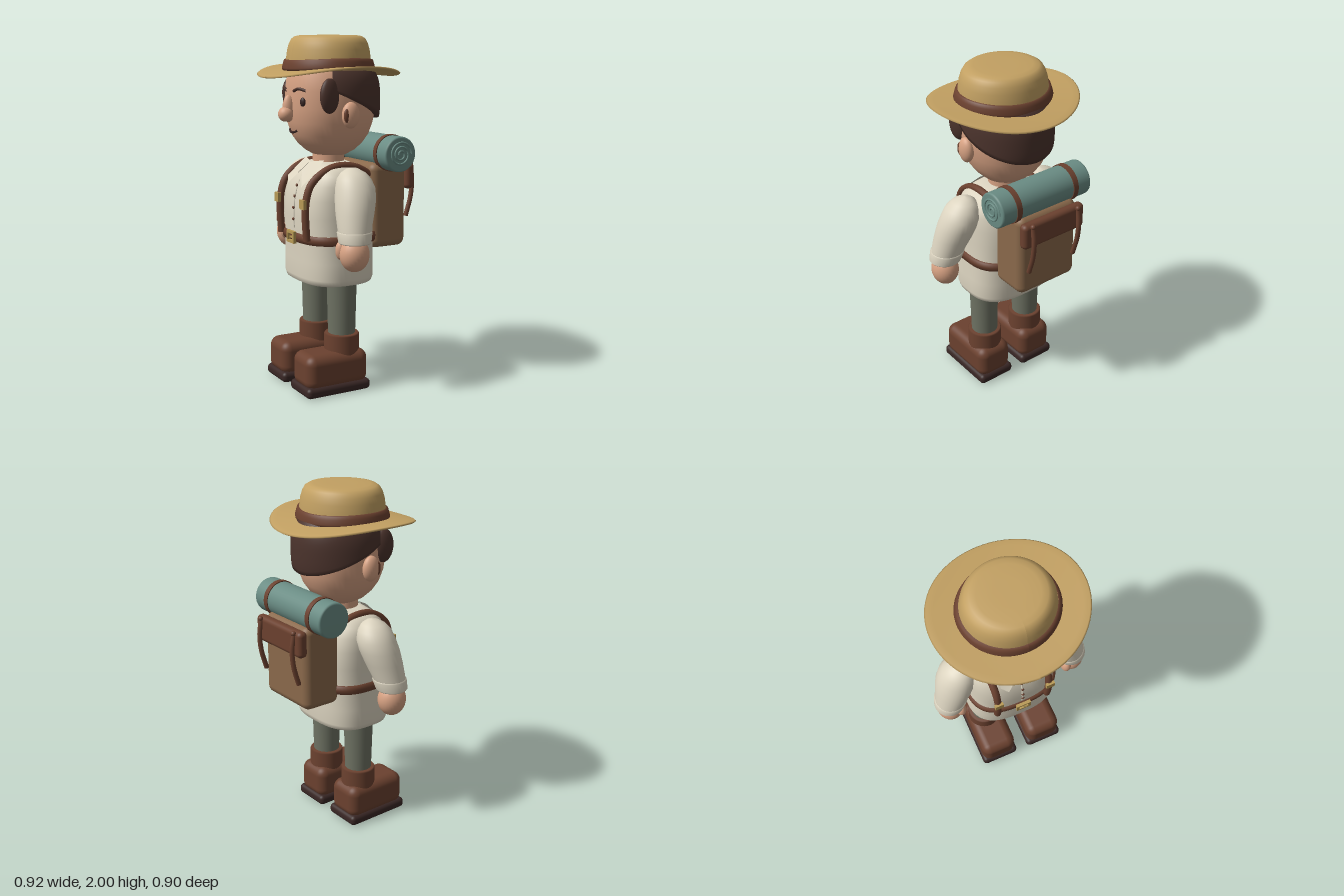
import * as THREE from 'three';
import { RoundedBoxGeometry } from 'three/addons/geometries/RoundedBoxGeometry.js';

const mat = (name, color, side = THREE.FrontSide) => {
  const m = new THREE.MeshStandardMaterial({ color, side });
  m.name = name;
  return m;
};

// Rings [y, halfWidth, halfDepth, cx, cz] joined upward; p > 2 squares the section
function loft(rings, p = 2, seg = 48) {
  const pos = [], idx = [];
  const pw = (v) => Math.sign(v) * Math.abs(v) ** (2 / p);
  rings.forEach(([y, a, b, cx = 0, cz = 0], i) => {
    for (let j = 0; j < seg; j++) {
      const u = (j / seg) * Math.PI * 2;
      pos.push(cx + a * pw(Math.sin(u)), y, cz + b * pw(Math.cos(u)));
      if (i < rings.length - 1) {
        const k = i * seg + j, n = i * seg + ((j + 1) % seg);
        idx.push(k, n, k + seg, n, n + seg, k + seg);
      }
    }
  });
  const g = new THREE.BufferGeometry();
  g.setAttribute('position', new THREE.Float32BufferAttribute(pos, 3));
  g.setIndex(idx);
  g.computeVertexNormals();
  return g;
}

const curve = (pts) => new THREE.CatmullRomCurve3(pts.map((p) => new THREE.Vector3(...p)));
const tube = (pts, r, n = 24) => new THREE.TubeGeometry(curve(pts), n, r, 10);
const ball = (rx, ry, rz) => new THREE.SphereGeometry(1, 28, 20).scale(rx, ry, rz);

// Round hat profile made oval, with the sides lifted and front and back dipped
function hatPart(points, lift) {
  const g = new THREE.LatheGeometry(points.map((p) => new THREE.Vector2(...p)), 72);
  const P = g.attributes.position;
  for (let i = 0; i < P.count; i++) {
    const x = P.getX(i), z = P.getZ(i), r2 = x * x + z * z;
    P.setY(i, P.getY(i) + (lift * (x * x - z * z)) / 0.176);
    P.setZ(i, z * (1 - 0.07 * Math.min(1, r2 / 0.05)));
  }
  g.computeVertexNormals();
  return g;
}

// Hair shell around the sides and back, its edge sloping down to the nape
function hairShell() {
  const start = Math.PI - 0.45, span = Math.PI + 0.9, W = 48, H = 20;
  const g = new THREE.SphereGeometry(1, W, H, start, span);
  const P = g.attributes.position;
  for (let i = 0; i < P.count; i++) {
    const phi = start + ((i % (W + 1)) / W) * span, row = Math.floor(i / (W + 1));
    const edge = 1.66 + 0.49 * (0.27 * Math.sin(phi) - 0.02);
    const c = Math.cos((Math.min(row, H - 1) / (H - 1)) * Math.acos((edge - 1.64) / 0.27));
    const r = Math.cbrt(1 - Math.abs(c) ** 3) * (row === H ? 0.9 : 1);
    P.setXYZ(i, -0.258 * r * Math.cos(phi), 1.64 + 0.24 * c, 0.28 * r * Math.sin(phi) - 0.02);
  }
  // Rebuild the faces so the last row also closes to the head
  const idx = [];
  for (let j = 0; j < H; j++) for (let i = 0; i < W; i++) {
    const a = j * (W + 1) + i, b = a + W + 1;
    idx.push(a + 1, a, b, a + 1, b, b + 1);
  }
  g.setIndex(idx);
  g.computeVertexNormals();
  return g;
}

export function createModel() {
  const straw = mat('straw', 0xc2a062), leather = mat('leather', 0x6b412f), skin = mat('skin', 0xd7a283);
  const hair = mat('hair', 0x4b332c, THREE.DoubleSide), cloth = mat('cream cloth', 0xdcd4c0, THREE.DoubleSide);
  const trousers = mat('trousers', 0x6e7263), sole = mat('dark sole', 0x392725), teal = mat('teal', 0x6a8c84);
  const canvas = mat('canvas', 0x8a694b), brass = mat('brass', 0xb89a55);

  const model = new THREE.Group();
  const body = new THREE.Group();
  body.name = 'explorer';
  body.rotation.y = -0.3;
  body.position.set(0.01, 0, 0.055);
  model.add(body);
  const add = (name, geo, m, x = 0, y = 0, z = 0) => {
    const mesh = new THREE.Mesh(geo, m);
    mesh.name = name;
    mesh.position.set(x, y, z);
    body.add(mesh);
    return mesh;
  };

  // Tunic, neck and belt
  add('tunic', loft([[0.62, 0, 0], [0.62, 0.25, 0.195], [0.628, 0.263, 0.208], [0.655, 0.272, 0.216], [0.75, 0.27, 0.217],
    [0.87, 0.262, 0.217], [1.0, 0.262, 0.222], [1.1, 0.264, 0.215], [1.18, 0.26, 0.195], [1.235, 0.245, 0.165],
    [1.27, 0.205, 0.135], [1.29, 0.15, 0.11], [1.3, 0.09, 0.09], [1.3, 0, 0]], 2.8, 64), cloth);
  add('neck', new THREE.CylinderGeometry(0.09, 0.09, 0.14, 32), skin, 0, 1.32, 0);
  add('belt', loft([[0.853, 0.258, 0.212], [0.856, 0.274, 0.23], [0.88, 0.277, 0.234], [0.902, 0.274, 0.23],
    [0.905, 0.258, 0.212]], 2.8, 64), leather);
  const frame = new THREE.Shape().moveTo(-0.044, -0.034).lineTo(0.044, -0.034).lineTo(0.044, 0.034).lineTo(-0.044, 0.034);
  frame.holes.push(new THREE.Path().moveTo(-0.028, -0.019).lineTo(-0.028, 0.019).lineTo(0.028, 0.019).lineTo(0.028, -0.019));
  add('beltBuckle', new THREE.ExtrudeGeometry(frame, { depth: 0.018, bevelEnabled: false }), brass, 0, 0.88, 0.23);
  add('bucklePin', new THREE.BoxGeometry(0.035, 0.009, 0.012), brass, 0.012, 0.88, 0.243);

  // Placket and buttons
  add('placket', tube([[0, 0.93, 0.219], [0, 1.02, 0.22], [0, 1.12, 0.21], [0, 1.2, 0.183]], 0.006), cloth);
  [[0.98, 0.226], [1.045, 0.225], [1.11, 0.217], [1.17, 0.202]].forEach(([y, z]) =>
    add('button', ball(0.009, 0.009, 0.006), leather, 0, y, z));

  // Head
  add('head', loft([[1.32, 0, 0, 0, -0.01], [1.322, 0.04, 0.042, 0, -0.01], [1.335, 0.085, 0.09, 0, -0.01],
    [1.36, 0.13, 0.137, 0, -0.01], [1.4, 0.172, 0.182, 0, -0.01], [1.45, 0.205, 0.217, 0, -0.01],
    [1.52, 0.23, 0.241, 0, -0.01], [1.6, 0.242, 0.25, 0, -0.01], [1.7, 0.243, 0.25, 0, -0.01],
    [1.79, 0.23, 0.24, 0, -0.01], [1.84, 0.2, 0.21, 0, -0.01], [1.86, 0, 0, 0, -0.01]], 2.1), skin);
  add('hair', hairShell(), hair);
  add('noseTip', ball(0.042, 0.042, 0.042), skin, 0, 1.57, 0.268);
  add('noseBridge', ball(0.029, 0.075, 0.035), skin, 0, 1.6, 0.25);
  add('mouth', tube([[-0.048, 1.482, 0.218], [-0.02, 1.47, 0.227], [0.02, 1.47, 0.227], [0.048, 1.482, 0.218]], 0.006), sole);

  // Crown, band and brim of the hat
  add('hatBrim', hatPart([[0.2, 1.8], [0.3, 1.804], [0.38, 1.798], [0.415, 1.796], [0.423, 1.802], [0.415, 1.808],
    [0.38, 1.81], [0.3, 1.816], [0.2, 1.82]], 0.029), straw);
  add('hatCrown', hatPart([[0.255, 1.81], [0.25, 1.87], [0.243, 1.92], [0.232, 1.955], [0.217, 1.98], [0.195, 1.993],
    [0.16, 1.999], [0.08, 2.0], [0, 2.0]], 0), straw);
  add('hatBand', hatPart([[0.25, 1.81], [0.272, 1.812], [0.275, 1.825], [0.268, 1.85], [0.262, 1.868], [0.25, 1.87]], 0.015), leather);

  for (const s of [1, -1]) {
    // Face details
    add('eye', ball(0.018, 0.025, 0.012), sole, s * 0.108, 1.64, 0.217).rotation.y = s * 0.4;
    add('eyebrow', tube([[s * 0.045, 1.698, 0.24], [s * 0.085, 1.711, 0.232], [s * 0.13, 1.7, 0.208]], 0.008), hair);
    add('sideburn', ball(0.032, 0.095, 0.062), hair, s * 0.222, 1.675, 0.113).rotation.y = s * 0.15;
    add('ear', ball(0.036, 0.072, 0.052), skin, s * 0.252, 1.57, 0);
    add('innerEar', ball(0.012, 0.038, 0.018), leather, s * 0.27, 1.57, 0.034);

    // Collar flap folded over the chest
    const flap = new THREE.BufferGeometry();
    flap.setAttribute('position', new THREE.Float32BufferAttribute([
      s * 0.012, 1.3, 0.11, s * 0.11, 1.315, 0.085, s * 0.125, 1.215, 0.193, s * 0.085, 1.17, 0.218, s * 0.012, 1.25, 0.175], 3));
    flap.setIndex(s > 0 ? [0, 4, 3, 0, 3, 2, 0, 2, 1] : [0, 3, 4, 0, 2, 3, 0, 1, 2]);
    flap.computeVertexNormals();
    add('collarFlap', flap, cloth);

    // Sleeve, cuff and hand
    const limb = (rows) => loft(rows.map(([y, r, x, z]) => [y, r, r, s * x, z]), 2, 36);
    add('sleeve', limb([[0.9, 0, 0.386, 0.05], [0.9, 0.084, 0.386, 0.05], [0.96, 0.092, 0.371, 0.043], [1.05, 0.106, 0.343, 0.025],
      [1.12, 0.113, 0.322, 0.01], [1.18, 0.11, 0.303, 0], [1.23, 0.094, 0.29, 0], [1.262, 0.067, 0.28, 0],
      [1.281, 0.034, 0.272, 0], [1.286, 0, 0.268, 0]]), cloth);
    add('cuff', limb([[0.893, 0.06, 0.387, 0.05], [0.893, 0.084, 0.387, 0.05], [0.9, 0.09, 0.386, 0.05], [0.95, 0.097, 0.373, 0.044],
      [0.957, 0.09, 0.371, 0.043]]), cloth);
    add('hand', ball(0.077, 0.095, 0.083), skin, s * 0.388, 0.83, 0.052);
    add('thumb', ball(0.03, 0.055, 0.035), skin, s * 0.338, 0.85, 0.105);

    // Leg and boot
    add('trouserLeg', new THREE.CylinderGeometry(0.086, 0.077, 0.36, 36), trousers, s * 0.155, 0.48, 0);
    add('bootCuff', loft([[0.18, 0.1, 0.1], [0.322, 0.1, 0.1], [0.33, 0.094, 0.094], [0.33, 0, 0]], 2, 36), leather, s * 0.155, 0, 0);
    add('boot', new RoundedBoxGeometry(0.222, 0.2, 0.392, 5, 0.055), leather, s * 0.155, 0.137, 0.073);
    add('bootSole', new RoundedBoxGeometry(0.236, 0.062, 0.406, 4, 0.026), sole, s * 0.155, 0.031, 0.073);

    // Shoulder strap with its buckle
    add('shoulderStrap', tube([[0.157, 0.88, 0.222], [0.157, 1.0, 0.23], [0.157, 1.1, 0.226], [0.158, 1.19, 0.195], [0.162, 1.255, 0.12],
      [0.165, 1.285, 0.03], [0.165, 1.275, -0.08], [0.155, 1.22, -0.19]].map(([x, y, z]) => [s * x, y, z]), 0.021, 48), leather);
    add('strapBuckle', new THREE.BoxGeometry(0.05, 0.052, 0.018), brass, s * 0.157, 1.085, 0.246);

    // Pack straps and bedroll ties
    add('packStrap', tube([[s * 0.157, 1.268, -0.452], [s * 0.157, 1.18, -0.466], [s * 0.157, 1.08, -0.458], [s * 0.157, 0.965, -0.425]], 0.014), leather);
    add('packStrapEnd', ball(0.015, 0.015, 0.015), leather, s * 0.157, 1.268, -0.456);
    add('bedrollTie', new THREE.CylinderGeometry(0.105, 0.105, 0.032, 40), leather, s * 0.195, 1.345, -0.292).rotation.z = Math.PI / 2;
  }

  // Backpack with flap and rolled bed
  add('backpack', new RoundedBoxGeometry(0.4, 0.49, 0.235, 5, 0.045), canvas, 0, 1.045, -0.287);
  add('packFlap', new RoundedBoxGeometry(0.42, 0.15, 0.06, 5, 0.026), leather, 0, 1.205, -0.424);
  add('bedroll', new THREE.LatheGeometry([[0, -0.305], [0.09, -0.305], [0.098, -0.3], [0.1, -0.292], [0.1, 0.292],
    [0.098, 0.3], [0.09, 0.305], [0, 0.305]].map((p) => new THREE.Vector2(...p)), 40), teal, 0, 1.345, -0.292).rotation.z = Math.PI / 2;
  const coil = Array.from({ length: 49 }, (_, i) => {
    const a = (i / 48) * Math.PI * 5, r = 0.012 + (0.06 * i) / 48;
    return [0.305, 1.345 + r * Math.sin(a), -0.292 + r * Math.cos(a)];
  });
  add('bedrollSpiral', tube(coil, 0.006, 120), teal);
  return model;
}
